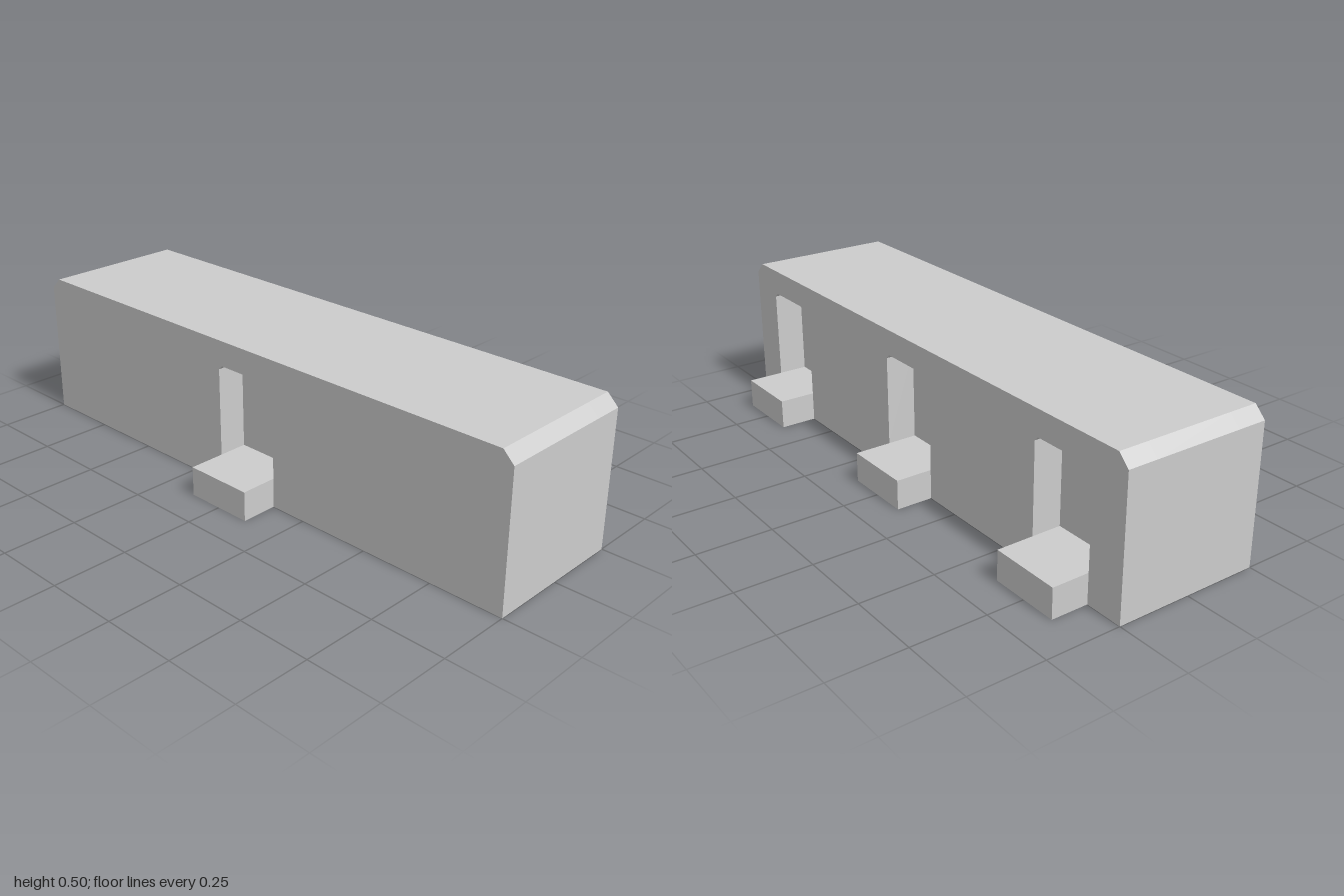
import * as THREE from 'three';

const WIDTH = 2, HEIGHT = 0.5, HALF_DEPTH = 0.25, ROOF_CUT = 0.0375;
const DOOR = { half: 0.12, sill: 0.1, top: 0.415, cut: 0.014, recess: 0.1 };
const STEP_DEPTH = 0.125;

// Wall outline with bevelled upper corners
function wallShape() {
  const w = WIDTH / 2;
  return new THREE.Shape([
    new THREE.Vector2(-w, 0),
    new THREE.Vector2(w, 0),
    new THREE.Vector2(w, HEIGHT - ROOF_CUT),
    new THREE.Vector2(w - ROOF_CUT, HEIGHT),
    new THREE.Vector2(-w + ROOF_CUT, HEIGHT),
    new THREE.Vector2(-w, HEIGHT - ROOF_CUT),
  ]);
}

// Doorway opening with tiny bevelled upper corners
function doorHole(x) {
  const { half, sill, top, cut } = DOOR;
  return new THREE.Path([
    new THREE.Vector2(x - half, sill),
    new THREE.Vector2(x - half, top - cut),
    new THREE.Vector2(x - half + cut, top),
    new THREE.Vector2(x + half - cut, top),
    new THREE.Vector2(x + half, top - cut),
    new THREE.Vector2(x + half, sill),
  ]);
}

export function createModel() {
  const group = new THREE.Group();
  group.name = 'building';
  const grey = new THREE.MeshStandardMaterial({ color: 0xcccccc });
  grey.name = 'light grey';

  const add = (name, geometry, x, y, z) => {
    const mesh = new THREE.Mesh(geometry, grey);
    mesh.name = name;
    mesh.position.set(x, y, z);
    group.add(mesh);
  };

  // Solid core between the doorway recesses
  const inner = HALF_DEPTH - DOOR.recess;
  add('core', new THREE.ExtrudeGeometry(wallShape(), { depth: inner * 2, bevelEnabled: false }), 0, 0, -inner);

  // Front and back walls, pierced by doorways, each with a step
  const sides = [
    { name: 'front', sign: 1, doors: [0] },
    { name: 'back', sign: -1, doors: [-0.75, 0, 0.75] },
  ];
  for (const { name, sign, doors } of sides) {
    const shape = wallShape();
    doors.forEach((x) => shape.holes.push(doorHole(x)));
    const wall = new THREE.ExtrudeGeometry(shape, { depth: DOOR.recess, bevelEnabled: false });
    add(name + 'Wall', wall, 0, 0, sign > 0 ? inner : -HALF_DEPTH);

    for (const x of doors) {
      const step = new THREE.BoxGeometry(DOOR.half * 2, DOOR.sill, STEP_DEPTH);
      add(name + 'Step', step, x, DOOR.sill / 2, sign * (HALF_DEPTH + STEP_DEPTH / 2));
    }
  }
  return group;
}
